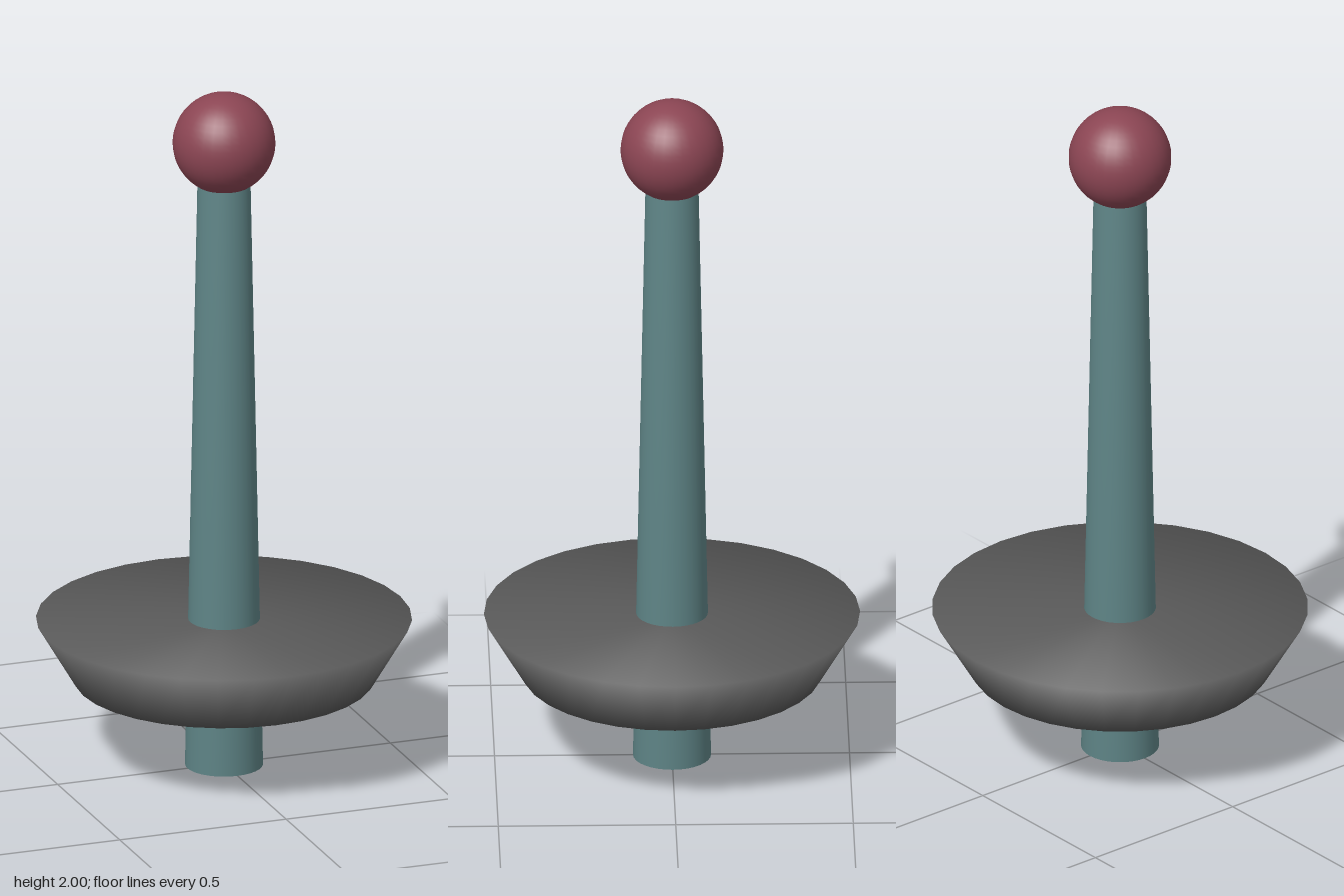
import * as THREE from 'three';
import { mergeVertices } from 'three/addons/utils/BufferGeometryUtils.js';

// Closed tapered cylinder with normals shared between the wall and the caps
function softFrustum(topRadius, bottomRadius, bottomY, topY) {
  const height = topY - bottomY;
  let geometry = new THREE.CylinderGeometry(topRadius, bottomRadius, height, 32);
  geometry.deleteAttribute('normal');
  geometry.deleteAttribute('uv');
  geometry = mergeVertices(geometry);
  geometry.computeVertexNormals();
  return geometry.translate(0, bottomY + height / 2, 0);
}

export function createModel() {
  const model = new THREE.Group();
  const add = (name, geometry, color) => {
    const mesh = new THREE.Mesh(geometry, new THREE.MeshStandardMaterial({ color }));
    mesh.name = name;
    model.add(mesh);
  };

  // Slim shaft, narrowing towards the top
  add('shaft', softFrustum(0.075, 0.11, 0, 1.73), 0x5f8587);

  // Flared solid disc around the lower shaft
  add('flaredDisc', softFrustum(0.53, 0.423, 0.255, 0.435), 0x5a5a5a);

  // Ball on the tip
  add('ball', new THREE.SphereGeometry(0.145, 32, 24).translate(0, 1.855, 0), 0x8b4553);

  return model;
}
